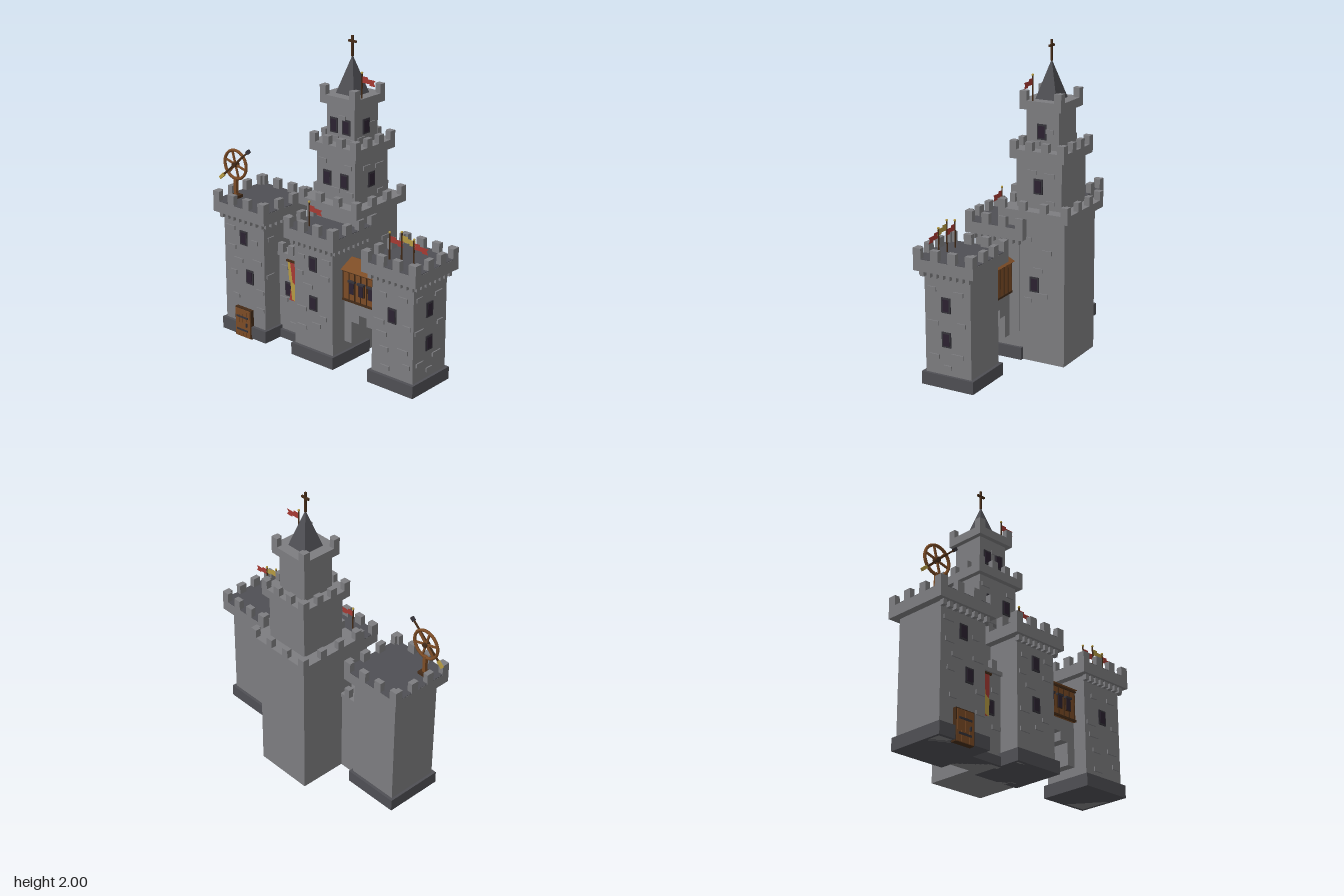
import * as THREE from 'three';

const mat = (name, color) => {
  const m = new THREE.MeshStandardMaterial({ color });
  m.name = name;
  return m;
};
const stone = mat('stone', 0x7d7d80), slate = mat('dark slate', 0x4f4f54);
const wood = mat('wood', 0x7c4c26), darkWood = mat('dark wood', 0x452c18);
const glass = mat('dark window', 0x2c2231), iron = mat('iron', 0x35333a);
const red = mat('red cloth', 0xa63a33), gold = mat('gold cloth', 0xb59a42);
red.side = gold.side = THREE.DoubleSide;

function add(parent, name, geometry, material, x = 0, y = 0, z = 0) {
  const m = new THREE.Mesh(geometry, material);
  m.name = name;
  m.position.set(x, y, z);
  parent.add(m);
  return m;
}
// Box given by its limits on each axis
function box(parent, name, material, x0, x1, y0, y1, z0, z1) {
  return add(parent, name, new THREE.BoxGeometry(x1 - x0, y1 - y0, z1 - z0), material,
    (x0 + x1) / 2, (y0 + y1) / 2, (z0 + z1) / 2);
}
function part(parent, name) {
  const g = new THREE.Group();
  g.name = name;
  parent.add(g);
  return g;
}
// Plate on a front (+z) or side (+x) wall, u runs along the wall
function plate(parent, name, material, face, pos, u, y, w, h, t) {
  if (face === 'front') return box(parent, name, material, u - w / 2, u + w / 2, y - h / 2, y + h / 2, pos, pos + t);
  return box(parent, name, material, pos, pos + t, y - h / 2, y + h / 2, u - w / 2, u + w / 2);
}
function windows(parent, face, pos, list) {
  for (const [u, y] of list) {
    plate(parent, 'windowFrame', iron, face, pos, u, y, 0.062, 0.095, 0.007);
    plate(parent, 'windowPane', glass, face, pos, u, y, 0.042, 0.074, 0.0095);
  }
}
function bricks(parent, face, pos, list) {
  list.forEach(([u, y], i) => plate(parent, 'brick', stone, face, pos, u, y, 0.055 + (i % 3) * 0.012, 0.027, 0.008));
}
// Overhanging platform with n merlons along each side
function battlement(parent, x0, x1, z0, z1, y0, y1, y2, n, w, d, darkTop) {
  box(parent, 'parapet', stone, x0, x1, y0, y1, z0, z1);
  if (darkTop) box(parent, 'roof', slate, x0 + 0.001, x1 - 0.001, y1, y1 + 0.003, z0 + 0.001, z1 - 0.001);
  for (let i = 0; i < n; i++) {
    const x = x0 + (x1 - x0 - w) * i / (n - 1), z = z0 + (z1 - z0 - w) * i / (n - 1);
    box(parent, 'merlon', stone, x, x + w, y1, y2, z0, z0 + d);
    box(parent, 'merlon', stone, x, x + w, y1, y2, z1 - d, z1);
    if (i > 0 && i < n - 1) {
      box(parent, 'merlon', stone, x0, x0 + d, y1, y2, z, z + w);
      box(parent, 'merlon', stone, x1 - d, x1, y1, y2, z, z + w);
    } else {
      const a = i ? z1 - w : z0;
      box(parent, 'merlonCorner', stone, x0, x0 + d, y1, y2, a, a + w);
      box(parent, 'merlonCorner', stone, x1 - d, x1, y1, y2, a, a + w);
    }
  }
}
// Square tower with plinth, corbels under the platform and battlement
function tower(root, name, x0, x1, z0, z1, top) {
  const g = part(root, name), o = 0.047;
  box(g, 'towerBody', stone, x0, x1, 0.01, top, z0, z1);
  box(g, 'plinth', slate, x0 - 0.018, x1 + 0.018, 0.01, 0.09, z0 - 0.02, z1 + 0.022);
  battlement(g, x0 - o, x1 + o, z0 - o, z1 + o, top, top + 0.073, top + 0.138, 4, 0.053, 0.035, true);
  for (let i = 0; i < 8; i++) {
    const f = (i + 0.5) / 8, x = x0 - 0.02 + (x1 - x0 + 0.04) * f, z = z0 - 0.02 + (z1 - z0 + 0.04) * f;
    box(g, 'corbel', stone, x - 0.013, x + 0.013, top - 0.035, top, z1, z1 + 0.03);
    box(g, 'corbel', stone, x1, x1 + 0.03, top - 0.035, top, z - 0.013, z + 0.013);
  }
  return g;
}
function shape(points) {
  return new THREE.ShapeGeometry(new THREE.Shape(points.map(p => new THREE.Vector2(p[0], p[1]))));
}
function flag(root, x, y, z, height, material) {
  const g = part(root, 'flag');
  add(g, 'flagPole', new THREE.CylinderGeometry(0.005, 0.005, height, 6), darkWood, x, y + height / 2, z);
  add(g, 'poleTip', new THREE.SphereGeometry(0.008, 8, 6), gold, x, y + height, z);
  add(g, 'flagCloth', shape([[0, 0], [0.045, 0], [0.045, -0.012], [0.105, -0.012], [0.092, -0.03],
    [0.105, -0.05], [0.058, -0.05], [0.058, -0.04], [0, -0.04]]), material, x, y + height - 0.02, z);
}

export function createModel() {
  const root = new THREE.Group();
  root.name = 'castle';

  // Three lower towers
  const left = tower(root, 'leftTower', -0.737, -0.39, -0.053, 0.302, 0.825);
  windows(left, 'front', 0.302, [[-0.565, 0.68], [-0.517, 0.424]]);
  bricks(left, 'front', 0.302, [[-0.47, 0.67], [-0.67, 0.6], [-0.615, 0.52], [-0.64, 0.27], [-0.43, 0.345],
    [-0.45, 0.54], [-0.66, 0.43], [-0.43, 0.22], [-0.68, 0.73]]);
  bricks(left, 'side', -0.39, [[0.24, 0.7], [0.25, 0.45]]);
  const mid = tower(root, 'middleTower', -0.13, 0.18, -0.012, 0.302, 0.797);
  windows(mid, 'front', 0.302, [[0.024, 0.66], [0.024, 0.4]]);
  bricks(mid, 'front', 0.302, [[-0.07, 0.69], [0.12, 0.59], [-0.02, 0.505], [0.105, 0.32], [0.05, 0.26],
    [-0.07, 0.22], [-0.085, 0.58], [0.13, 0.7], [-0.07, 0.345]]);
  const right = tower(root, 'rightTower', 0.475, 0.787, -0.032, 0.283, 0.73);
  windows(right, 'front', 0.283, [[0.63, 0.49]]);
  windows(right, 'side', 0.787, [[0.135, 0.53], [0.135, 0.315]]);
  bricks(right, 'front', 0.283, [[0.56, 0.61], [0.71, 0.615], [0.53, 0.43], [0.74, 0.44], [0.57, 0.26],
    [0.71, 0.28], [0.74, 0.19], [0.58, 0.14], [0.55, 0.355]]);
  bricks(right, 'side', 0.787, [[0.23, 0.62], [0.05, 0.61], [0.23, 0.41], [0.03, 0.42], [0.22, 0.2], [0.06, 0.22], [0.13, 0.14]]);

  // Stepped keep: half width, body bottom and top, platform half width, heights, merlons
  const keep = part(root, 'keep'), kx = -0.025, kz = -0.12;
  for (const [h, b, t, o, y1, y2, n] of [[0.2, 0.01, 0.935, 0.238, 0.985, 1.04, 4],
    [0.155, 0.985, 1.29, 0.187, 1.347, 1.4, 4], [0.11, 1.347, 1.588, 0.141, 1.643, 1.7, 2]]) {
    box(keep, 'keepBody', stone, kx - h, kx + h, b, t, kz - h, kz + h);
    battlement(keep, kx - o, kx + o, kz - o, kz + o, t, y1, y2, n, 0.047, 0.035, false);
  }
  windows(keep, 'front', 0.035, [[-0.092, 1.125], [0.045, 1.125]]);
  windows(keep, 'front', -0.01, [[-0.076, 1.455], [0.024, 1.455]]);
  windows(keep, 'side', 0.175, [[-0.115, 0.515]]);
  windows(keep, 'side', 0.13, [[-0.115, 1.125]]);
  windows(keep, 'side', 0.085, [[-0.115, 1.455]]);
  bricks(keep, 'front', 0.035, [[0.075, 1.22], [-0.13, 1.23], [-0.03, 1.06], [0.09, 1.05]]);
  bricks(keep, 'front', -0.01, [[-0.01, 1.51], [0.045, 1.37], [-0.08, 1.375]]);
  bricks(keep, 'side', 0.175, [[-0.07, 0.8], [-0.14, 0.61], [-0.17, 0.45], [-0.07, 0.41], [-0.2, 0.73]]);
  bricks(keep, 'side', 0.13, [[-0.2, 1.03], [-0.07, 1.21], [-0.19, 1.2]]);
  bricks(keep, 'side', 0.085, [[-0.17, 1.46], [-0.07, 1.38]]);

  // Spire with cross
  const spireMesh = new THREE.ConeGeometry(0.072 * Math.SQRT2, 0.237, 4, 1).toNonIndexed();
  spireMesh.rotateY(Math.PI / 4);
  spireMesh.computeVertexNormals();
  add(keep, 'spire', spireMesh, slate, kx, 1.7615, kz);
  box(keep, 'crossPost', darkWood, kx - 0.006, kx + 0.006, 1.87, 2, kz - 0.006, kz + 0.006);
  box(keep, 'crossArm', darkWood, kx - 0.03, kx + 0.03, 1.957, 1.97, kz - 0.006, kz + 0.006);

  // Curtain wall between left and middle towers
  const wall = part(root, 'curtainWall');
  box(wall, 'wallBody', stone, -0.39, -0.13, 0.01, 0.585, 0, 0.165);
  box(wall, 'wallPlinth', slate, -0.39, -0.13, 0.01, 0.066, 0, 0.185);
  box(wall, 'wallCap', stone, -0.39, -0.13, 0.575, 0.6, -0.012, 0.18);
  for (const x of [-0.385, -0.3, -0.215]) {
    box(wall, 'merlon', stone, x, x + 0.042, 0.6, 0.66, 0.145, 0.18);
    box(wall, 'merlon', stone, x, x + 0.042, 0.6, 0.66, -0.012, 0.023);
  }
  windows(wall, 'front', 0.165, [[-0.305, 0.357], [-0.22, 0.357]]);
  bricks(wall, 'front', 0.165, [[-0.18, 0.47], [-0.35, 0.28], [-0.26, 0.12], [-0.34, 0.5], [-0.17, 0.24]]);

  // Hanging banner
  const banner = part(root, 'banner');
  box(banner, 'bannerRod', darkWood, -0.315, -0.22, 0.553, 0.565, 0.172, 0.184);
  add(banner, 'bannerRed', shape([[-0.305, 0.555], [-0.235, 0.555], [-0.235, 0.4], [-0.25, 0.29],
    [-0.295, 0.29], [-0.275, 0.42]]), red, 0, 0, 0.177);
  add(banner, 'bannerGold', shape([[-0.305, 0.555], [-0.285, 0.555], [-0.265, 0.42], [-0.235, 0.4],
    [-0.24, 0.29], [-0.27, 0.3], [-0.285, 0.42], [-0.295, 0.43]]), gold, 0, 0, 0.179);

  // Door
  const door = part(root, 'door');
  box(door, 'doorFrame', darkWood, -0.635, -0.495, 0, 0.2, 0.29, 0.326);
  for (let i = 0; i < 4; i++) box(door, 'doorPlank', wood, -0.629 + i * 0.032, -0.599 + i * 0.032, 0.003, 0.193, 0.32, 0.331);
  for (const y of [0.045, 0.135]) box(door, 'doorHinge', iron, -0.618, -0.52, y, y + 0.012, 0.33, 0.335);
  box(door, 'doorHandle', iron, -0.535, -0.525, 0.08, 0.105, 0.33, 0.339);

  // Covered timber bridge
  const bridge = part(root, 'bridge');
  box(bridge, 'bridgeBody', wood, 0.177, 0.475, 0.44, 0.65, 0.045, 0.205);
  const roof = new THREE.ExtrudeGeometry(new THREE.Shape([[-0.23, 0.645], [-0.02, 0.645], [-0.125, 0.698]]
    .map(p => new THREE.Vector2(...p))), { depth: 0.298, bevelEnabled: false });
  roof.rotateY(Math.PI / 2);
  add(bridge, 'bridgeRoof', roof, wood, 0.177, 0, 0);
  for (const z of [0.038, 0.2]) {
    for (const y of [0.44, 0.632]) box(bridge, 'bridgeRail', darkWood, 0.177, 0.475, y, y + 0.013, z, z + 0.014);
    for (let i = 0; i < 7; i++) {
      const x = 0.18 + i * 0.047;
      box(bridge, 'plankSeam', darkWood, x, x + 0.004, 0.45, 0.635, z + 0.003, z + 0.011);
    }
  }
  for (const x of [0.256, 0.33, 0.404]) {
    plate(bridge, 'bridgeWindowFrame', darkWood, 'front', 0.205, x, 0.54, 0.046, 0.09, 0.009);
    plate(bridge, 'bridgeWindow', glass, 'front', 0.212, x, 0.535, 0.034, 0.075, 0.006);
    box(bridge, 'windowHood', iron, x - 0.026, x + 0.026, 0.573, 0.585, 0.205, 0.224);
  }
  // Stepped arch under the bridge
  [0.155, 0.3, 0.357, 0.3, 0.155].forEach((y, i) =>
    box(bridge, 'archStep', stone, 0.177 + i * 0.0596, 0.2366 + i * 0.0596, y, 0.44, 0.06, 0.19));

  // Flags
  flag(root, -0.055, 0.87, 0.248, 0.16, red);
  flag(root, 0.1, 1.643, -0.06, 0.157, red);
  flag(root, 0.55, 0.803, 0.217, 0.172, red);
  flag(root, 0.64, 0.803, 0.217, 0.197, gold);
  flag(root, 0.73, 0.803, 0.217, 0.172, red);

  // Spoked wheel on a post with a slanted pole
  const wheel = part(root, 'wheel');
  wheel.position.set(-0.705, 1.12, 0.222);
  add(wheel, 'wheelRim', new THREE.TorusGeometry(0.094, 0.01, 8, 28), wood);
  for (let i = 0; i < 3; i++) {
    const spoke = add(wheel, 'wheelSpoke', new THREE.BoxGeometry(0.185, 0.011, 0.011), wood);
    spoke.rotation.z = -0.25 + i * Math.PI / 3;
  }
  add(wheel, 'wheelHub', new THREE.CylinderGeometry(0.016, 0.016, 0.04, 10), darkWood).rotation.x = Math.PI / 2;
  box(wheel, 'wheelPost', wood, -0.011, 0.011, -0.22, -0.085, -0.011, 0.011);
  box(wheel, 'wheelFoot', darkWood, -0.031, 0.031, -0.219, -0.2, -0.028, 0.028);
  const pole = part(wheel, 'slantedPole');
  pole.rotation.z = 0.72;
  pole.position.set(0.005, 0.004, 0.014);
  box(pole, 'poleShaft', darkWood, -0.13, 0.175, -0.005, 0.005, -0.005, 0.005);
  box(pole, 'poleHead', iron, 0.15, 0.178, -0.011, 0.011, -0.008, 0.008);
  box(pole, 'poleGrip', gold, -0.175, -0.125, -0.01, 0.01, -0.007, 0.007);
  return root;
}
